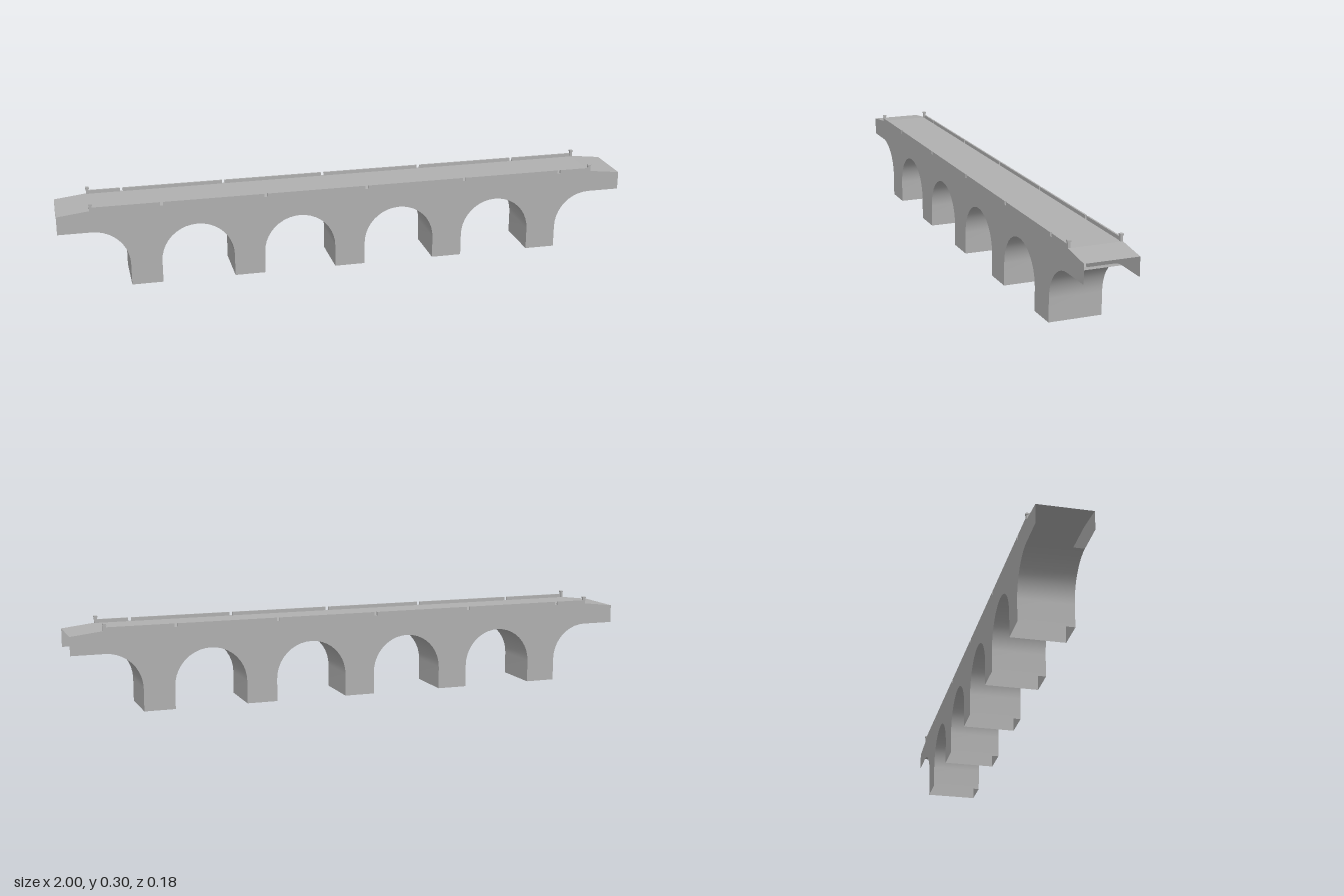
import * as THREE from 'three';

const W = 0.09;            // half width of the bridge
const DECK = 0.278;        // roadway height
const END = 0.265;         // roadway height at the open ends
const RAMP = 0.89;         // where the end ramps begin
const PITCH = 0.355;       // pier spacing
const PIER = 0.053;        // half width of a pier
const R = PITCH / 2 - PIER; // arch radius
const CROWN = 0.202;       // arch crown height
const SPRING = CROWN - R;  // arch springing height

export function createModel() {
  const stone = new THREE.MeshStandardMaterial({ color: 0xb0b0b0, side: THREE.DoubleSide });
  stone.name = 'grey stone';
  const bridge = new THREE.Group();
  bridge.name = 'viaduct';

  const add = (name, geometry, x = 0, y = 0, z = 0) => {
    const mesh = new THREE.Mesh(geometry, stone);
    mesh.name = name;
    mesh.position.set(x, y, z);
    bridge.add(mesh);
    return mesh;
  };

  // Open strip that sweeps an x-y profile across the width
  const ribbon = (points) => {
    const pos = [], index = [];
    points.forEach(([x, y], i) => {
      pos.push(x, y, W, x, y, -W);
      if (i) {
        const a = 2 * i - 2;
        index.push(a, a + 2, a + 1, a + 1, a + 2, a + 3);
      }
    });
    const g = new THREE.BufferGeometry();
    g.setAttribute('position', new THREE.Float32BufferAttribute(pos, 3));
    g.setIndex(index);
    g.computeVertexNormals();
    return g;
  };

  // Arch profile, from right to left, between two angles
  const arc = (cx, from, to, steps) => Array.from({ length: steps + 1 }, (_, i) => {
    const t = from + (to - from) * i / steps;
    return [cx + R * Math.cos(t), SPRING + R * Math.sin(t)];
  });

  // Undersides: four full arches and a half arch at each end
  const arches = [];
  for (let i = 2; i >= -3; i--) {
    const cx = (i + 0.5) * PITCH;
    let p;
    if (i === 2) p = [...arc(cx, Math.PI / 2, Math.PI, 10), [cx - R, 0]];
    else if (i === -3) p = [[cx + R, 0], ...arc(cx, 0, Math.PI / 2, 10)];
    else p = [[cx + R, 0], ...arc(cx, 0, Math.PI, 20), [cx - R, 0]];
    arches.push(p);
    add('archUnderside', ribbon(p));
  }

  // Side walls, cut by the arches
  const outline = [[-1, CROWN], [-1, END], [-RAMP, DECK], [RAMP, DECK], [1, END], [1, CROWN], ...arches.flat()];
  const wall = new THREE.ShapeGeometry(new THREE.Shape(outline.map(([x, y]) => new THREE.Vector2(x, y))));
  add('frontWall', wall, 0, 0, W);
  add('backWall', wall.clone().rotateY(Math.PI), 0, 0, -W);

  // Roadway and its sloping ends
  add('roadway', ribbon([[-RAMP, DECK], [RAMP, DECK]]));
  add('rightRamp', ribbon([[-1, END], [-RAMP, DECK]]));
  add('leftRamp', ribbon([[RAMP, DECK], [1, END]]));

  // Low parapets with narrow drainage gaps, and a flared post at each end
  const H = 0.012, T = 0.006, GAP = 0.01;
  for (const s of [1, -1]) {
    const cuts = [-RAMP, ...[0, 1, 2, 3, 4].map((k) => -0.65 + k * PITCH), RAMP];
    for (let k = 0; k < cuts.length - 1; k++) {
      const a = cuts[k] + (k ? GAP / 2 : 0);
      const b = cuts[k + 1] - (k < cuts.length - 2 ? GAP / 2 : 0);
      add('parapet', new THREE.BoxGeometry(b - a, H, T), s * (a + b) / 2, DECK + H / 2, s * (W - T / 2));
    }
    for (const e of [1, -1]) {
      add('endPost', new THREE.BoxGeometry(0.009, 0.019, 0.009), e * (RAMP - 0.004), DECK + 0.0095, s * (W - 0.0045));
      add('postCap', new THREE.BoxGeometry(0.012, 0.005, 0.012), e * (RAMP - 0.004), 0.2995, s * (W - 0.0045));
    }
  }
  return bridge;
}
